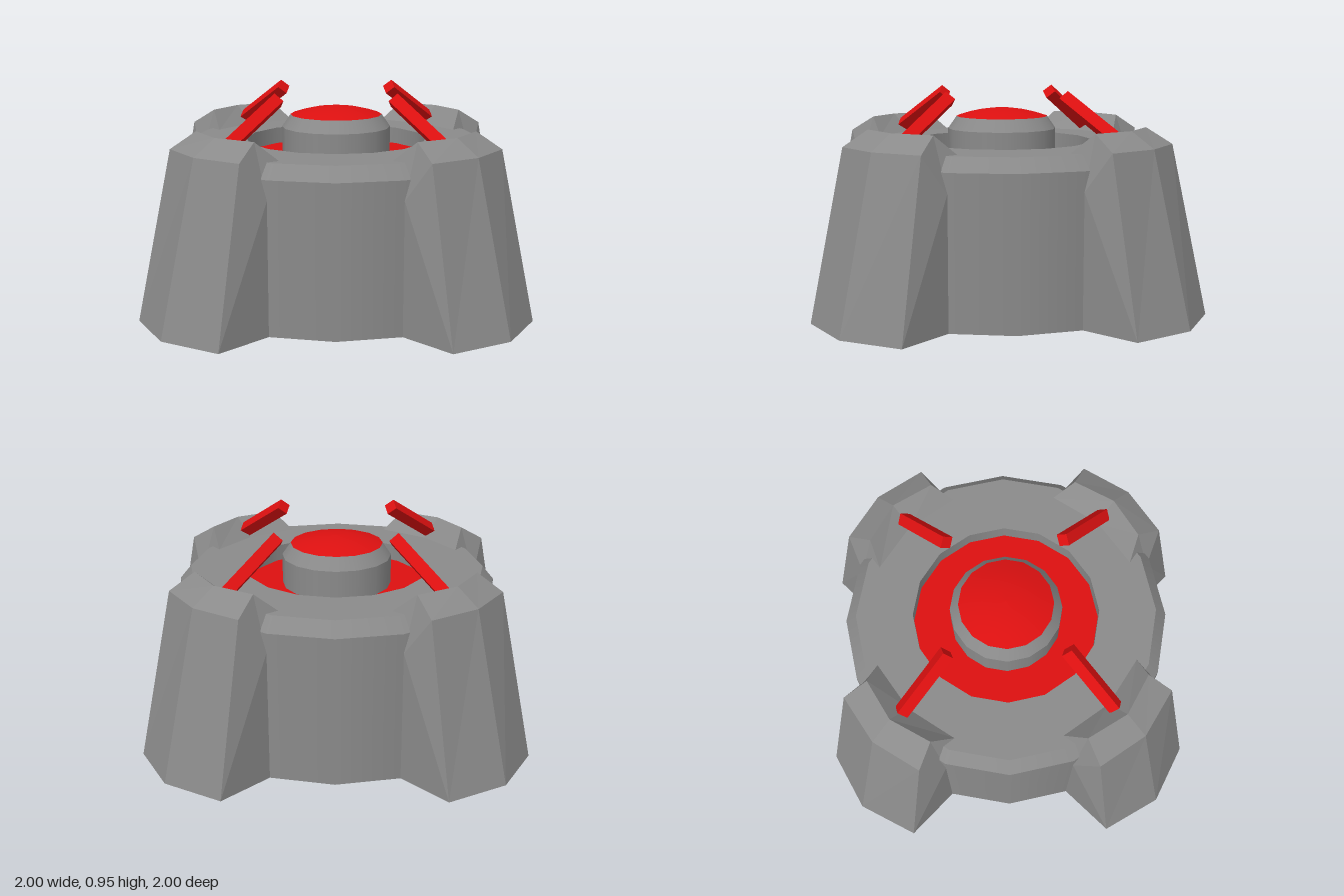
import * as THREE from 'three';

const grey = new THREE.MeshStandardMaterial({ color: 0x8a8a8a, side: THREE.DoubleSide });
grey.name = 'grey metal';
const red = new THREE.MeshStandardMaterial({ color: 0xdc1010, side: THREE.DoubleSide });
red.name = 'red';

const SIDES = 16;

function addMesh(parent, name, geometry, material) {
  const mesh = new THREE.Mesh(geometry, material);
  mesh.name = name;
  parent.add(mesh);
  return mesh;
}

// Each profile step is its own ring, so edges between steps stay sharp
function addRings(parent, name, profile, material) {
  const group = new THREE.Group();
  group.name = name;
  for (let i = 0; i + 1 < profile.length; i++) {
    const pts = [profile[i], profile[i + 1]].map(([r, y]) => new THREE.Vector2(r, y));
    addMesh(group, name + 'Ring', new THREE.LatheGeometry(pts, SIDES), material);
  }
  parent.add(group);
}

// Tapered buttress: three points (left, centre, right) per section, from outer foot over the crest to inner foot
function legGeometry() {
  const sections = [ // half width, corner depth, centre depth, height
    [0.27, 0.92, 1.0, 0],
    [0.228, 0.76, 0.81, 0.73],
    [0.19, 0.65, 0.70, 0.798],
    [0.235, 0.555, 0.60, 0.712],
    [0.27, 0.657, 0.70, 0.57],
    [0.27, 0.657, 0.71, 0],
  ];
  const pts = sections.map(([w, corner, centre, y]) => [[-w, y, corner], [0, y, centre], [w, y, corner]]);
  const pos = [];
  const tri = (a, b, c) => pos.push(...a, ...b, ...c);
  const n = pts.length;
  for (let i = 0; i < n; i++) {
    const p = pts[i], q = pts[(i + 1) % n];
    for (let k = 0; k < 2; k++) {
      tri(p[k], p[k + 1], q[k + 1]);
      tri(p[k], q[k + 1], q[k]);
    }
  }
  // side walls, fanned from the inner bend
  for (let i = 5; i < 9; i++) {
    const a = i % n, b = (i + 1) % n;
    tri(pts[4][0], pts[a][0], pts[b][0]);
    tri(pts[4][2], pts[b][2], pts[a][2]);
  }
  const geo = new THREE.BufferGeometry();
  geo.setAttribute('position', new THREE.Float32BufferAttribute(pos, 3));
  geo.computeVertexNormals();
  return geo;
}

// Square bar set on its edge, running between two points
function barGeometry(from, to) {
  const dir = to.clone().sub(from);
  const geo = new THREE.CylinderGeometry(0.036, 0.036, dir.length(), 4).toNonIndexed();
  geo.computeVertexNormals();
  const mid = from.clone().add(to).multiplyScalar(0.5);
  geo.rotateX(Math.atan2(dir.z, dir.y));
  geo.translate(mid.x, mid.y, mid.z);
  return geo;
}

export function createModel() {
  const model = new THREE.Group();
  model.name = 'turretBase';

  // Hollow drum with bevelled rim and recessed centre
  addRings(model, 'drum', [[0.71, 0], [0.71, 0.655], [0.66, 0.715], [0.41, 0.715], [0.41, 0.64]], grey);
  addRings(model, 'recessFloor', [[0.41, 0.64], [0, 0.64]], red);

  // Central button: grey collar and shallow red dome
  addRings(model, 'buttonCollar', [[0.245, 0.64], [0.245, 0.77], [0.207, 0.825]], grey);
  const dome = [];
  for (let i = 0; i <= 4; i++) {
    const t = i / 4;
    dome.push(new THREE.Vector2(0.207 * (1 - t), 0.825 + 0.037 * (1 - (1 - t) ** 2)));
  }
  addMesh(model, 'buttonDome', new THREE.LatheGeometry(dome, SIDES), red);

  // Four legs, each with a red bar leaning inward
  const legGeo = legGeometry();
  const barGeo = barGeometry(new THREE.Vector3(0, 0.748, 0.638), new THREE.Vector3(0, 0.92, 0.353));
  for (let i = 0; i < 4; i++) {
    const quarter = new THREE.Group();
    quarter.name = 'buttress' + (i + 1);
    quarter.rotation.y = i * Math.PI / 2;
    addMesh(quarter, 'leg', legGeo, grey);
    addMesh(quarter, 'bar', barGeo, red);
    model.add(quarter);
  }
  return model;
}
